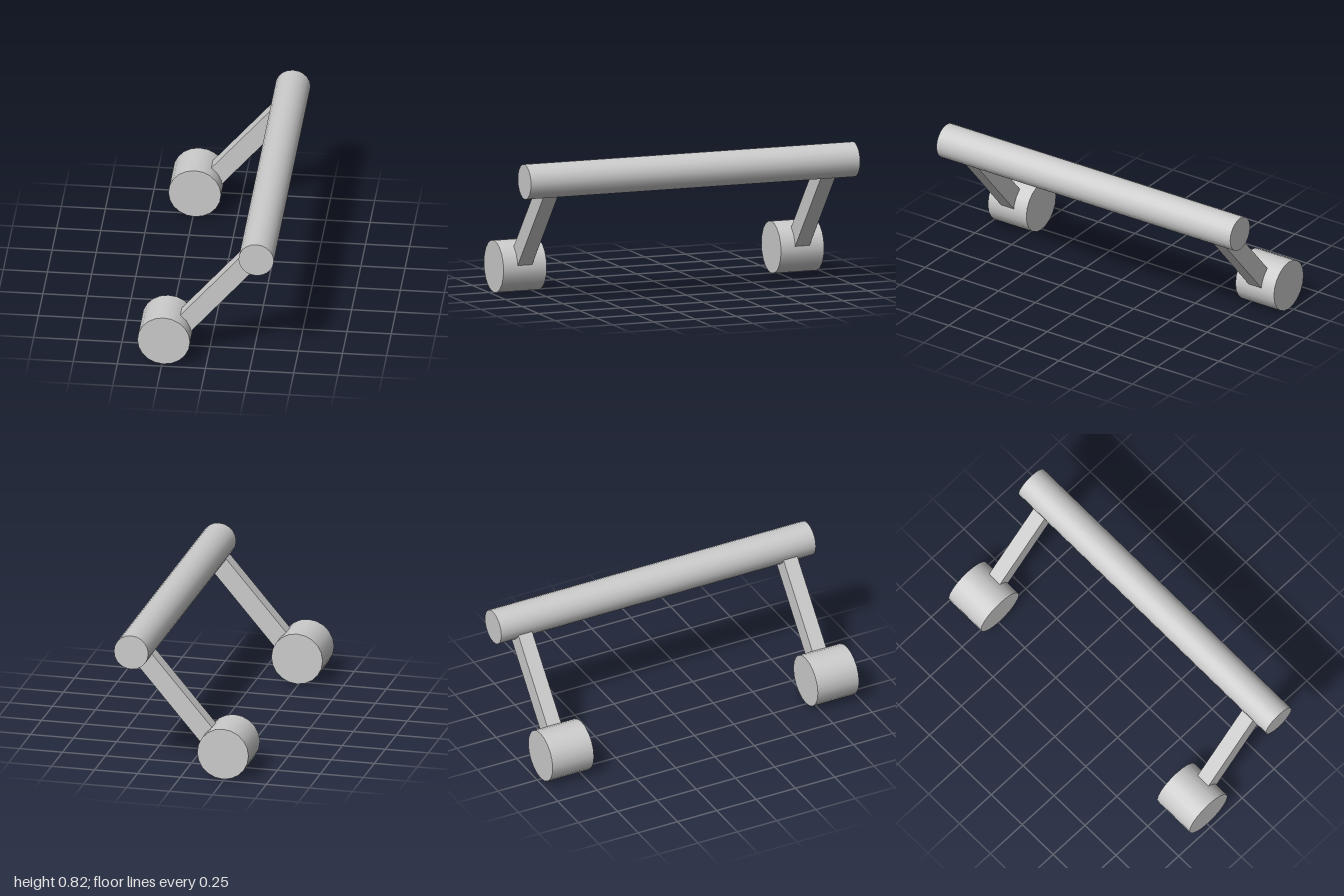
import * as THREE from 'three';

const material = new THREE.MeshStandardMaterial({ color: 0xcccccc });

// Cylinder lying along z
function rod(name, radius, length, x, y, z) {
  const geometry = new THREE.CylinderGeometry(radius, radius, length, 20);
  geometry.rotateX(Math.PI / 2);
  const mesh = new THREE.Mesh(geometry, material);
  mesh.name = name;
  mesh.position.set(x, y, z);
  return mesh;
}

// Square-edged arm from one point to another in the xy plane
function arm(name, from, to, width, depth, z) {
  const dx = to[0] - from[0], dy = to[1] - from[1];
  const mesh = new THREE.Mesh(new THREE.BoxGeometry(Math.hypot(dx, dy), width, depth), material);
  mesh.name = name;
  mesh.position.set((from[0] + to[0]) / 2, (from[1] + to[1]) / 2, z);
  mesh.rotation.z = Math.atan2(dy, dx);
  return mesh;
}

export function createModel() {
  const model = new THREE.Group();
  model.name = 'barHandle';

  // Long grip bar
  model.add(rod('gripBar', 0.1, 2, 0.287, 0.72, 0));

  // Mounting hub and slanted arm at each end
  for (const [end, side] of [['front', 1], ['back', -1]]) {
    const z = side * 0.843;
    model.add(rod(end + 'Hub', 0.149, 0.262, -0.24, 0.15, z));
    model.add(arm(end + 'Arm', [-0.182, 0.155], [0.286, 0.702], 0.111, 0.088, z));
  }
  return model;
}
